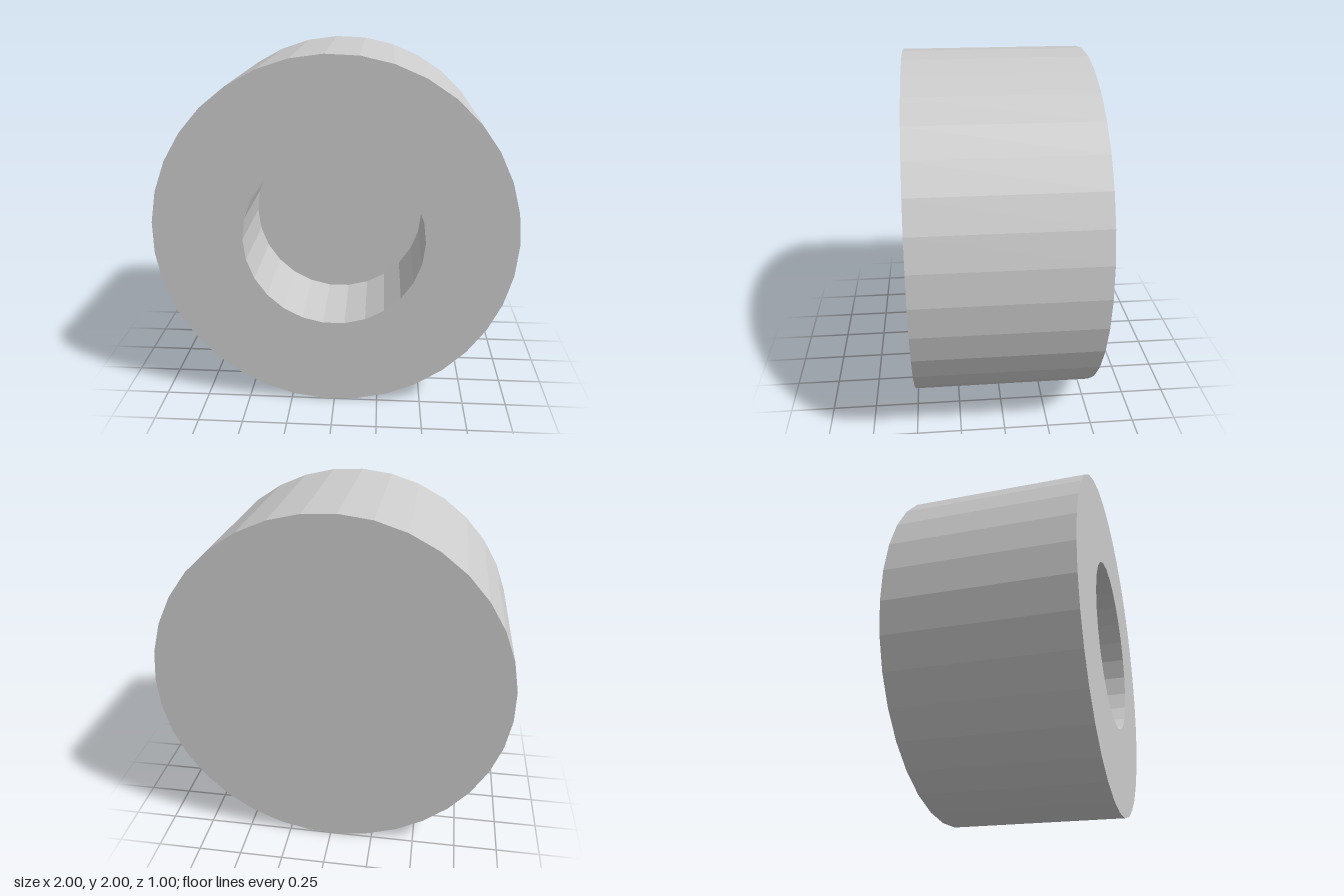
import * as THREE from 'three';

const OUTER_SIDES = 35, INNER_SIDES = 26;
const OUTER_R = 1.001, INNER_R = 0.5;
const HALF = 0.5, FLOOR_Z = 0;

// Regular polygon, first corner on +x
function polygon(radius, sides) {
  return Array.from({ length: sides }, (_, i) => {
    const a = (i / sides) * Math.PI * 2;
    return new THREE.Vector2(Math.cos(a) * radius, Math.sin(a) * radius);
  });
}

// Faceted wall around z; an inward wall has its triangles reversed
function wall(radius, sides, z0, z1, inward = false) {
  const pts = polygon(radius, sides), pos = [];
  pts.forEach((p, i) => {
    const q = pts[(i + 1) % sides];
    const a = [p.x, p.y, z0], b = [q.x, q.y, z0], c = [q.x, q.y, z1], d = [p.x, p.y, z1];
    const corners = inward ? [a, c, b, a, d, c] : [a, b, c, a, c, d];
    pos.push(...corners.flat());
  });
  const g = new THREE.BufferGeometry();
  g.setAttribute('position', new THREE.Float32BufferAttribute(pos, 3));
  g.computeVertexNormals();
  return g;
}

export function createModel() {
  const group = new THREE.Group();
  group.name = 'recessedCylinder';
  const material = new THREE.MeshStandardMaterial({ color: 0xcccccc, flatShading: true });
  const add = (name, geometry) => {
    const mesh = new THREE.Mesh(geometry, material);
    mesh.name = name;
    mesh.position.set(-0.002, 1, 0);
    group.add(mesh);
  };

  // Outer body
  add('outerWall', wall(OUTER_R, OUTER_SIDES, -HALF, HALF));
  add('backFace', new THREE.CircleGeometry(OUTER_R, OUTER_SIDES)
    .rotateX(Math.PI).translate(0, 0, -HALF));

  // Front ring around the recess
  const ring = new THREE.Shape(polygon(OUTER_R, OUTER_SIDES));
  ring.holes.push(new THREE.Path(polygon(INNER_R, INNER_SIDES)));
  add('frontRing', new THREE.ShapeGeometry(ring).translate(0, 0, HALF));

  // Blind round recess, half the body deep
  add('recessWall', wall(INNER_R, INNER_SIDES, FLOOR_Z, HALF, true));
  add('recessFloor', new THREE.CircleGeometry(INNER_R, INNER_SIDES).translate(0, 0, FLOOR_Z));

  return group;
}
